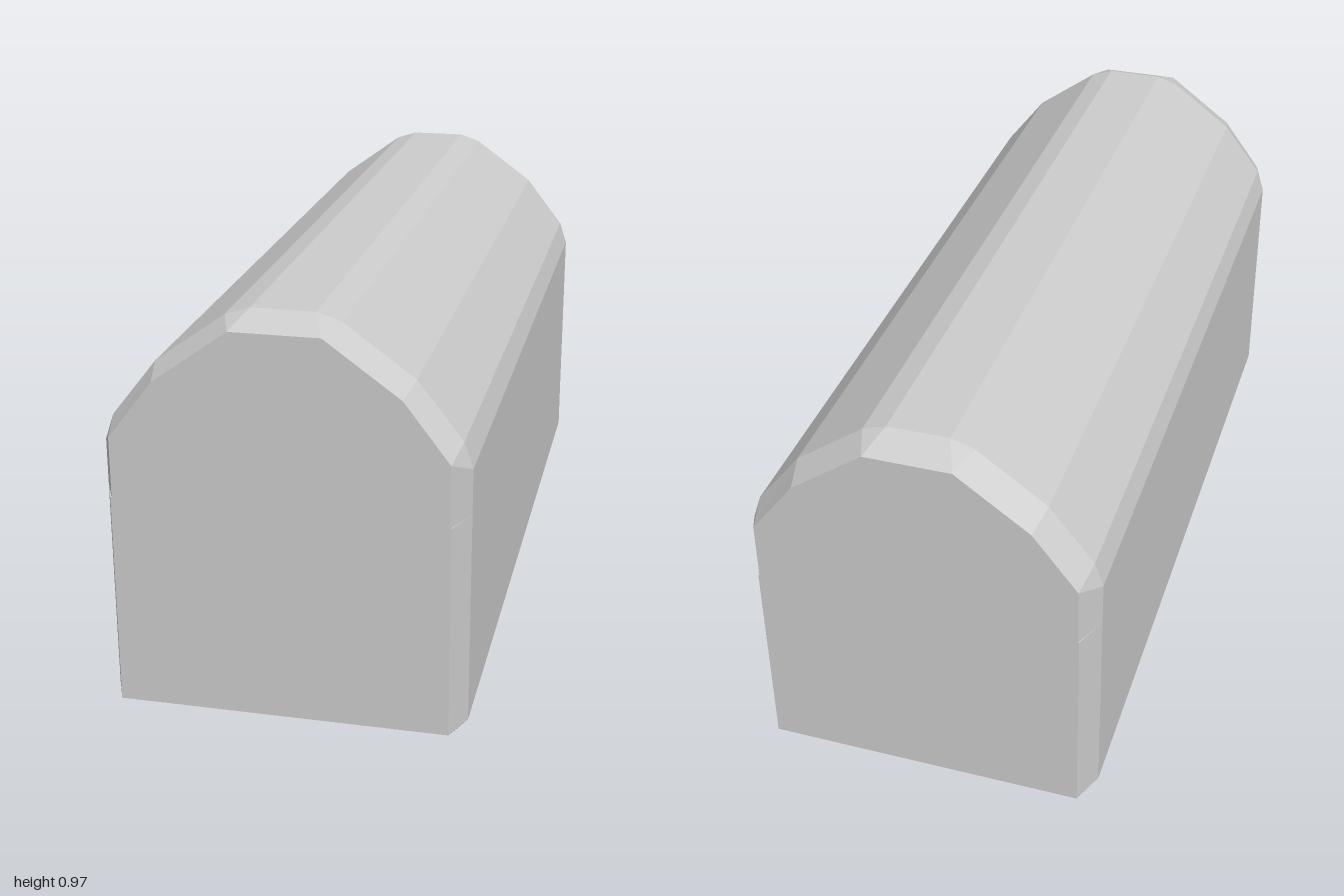
import * as THREE from 'three';

// Half profiles, bottom to top; repeated points collapse into corner facets.
const OUTER = [[0.38, 0], [0.41, 0.033], [0.41, 0.533], [0.41, 0.533], [0.41, 0.64],
  [0.39, 0.7], [0.287, 0.832], [0.127, 0.948], [0.072, 0.966]];
const INNER = [[0.378, 0.033], [0.378, 0.033], [0.378, 0.533], [0.375, 0.533], [0.375, 0.675],
  [0.375, 0.675], [0.272, 0.81], [0.101, 0.934], [0.101, 0.934]];

// Full closed ring at depth z, mirrored across x = 0.
function ring(half, z) {
  const left = half.map(([x, y]) => new THREE.Vector3(x, y, z));
  const right = half.map(([x, y]) => new THREE.Vector3(-x, y, z)).reverse();
  return [...left, ...right];
}

// Flat-faced loft through the rings, closed at both ends.
function loft(rings) {
  const pos = [];
  const tri = (a, b, c) => {
    if (new THREE.Triangle(a, b, c).getArea() < 1e-7) return;
    for (const p of [a, b, c]) pos.push(p.x, p.y, p.z);
  };
  const n = rings[0].length;
  for (let i = 0; i < rings.length - 1; i++) {
    for (let j = 0; j < n; j++) {
      const k = (j + 1) % n;
      const [a, b, c, d] = [rings[i][j], rings[i][k], rings[i + 1][k], rings[i + 1][j]];
      tri(a, b, c);
      tri(a, c, d);
    }
  }
  const back = rings[0], front = rings[rings.length - 1];
  const centre = (r) => new THREE.Vector3(0, 0.45, r[0].z);
  for (let j = 0; j < n; j++) {
    const k = (j + 1) % n;
    tri(centre(front), front[j], front[k]);
    tri(centre(back), back[k], back[j]);
  }
  const geometry = new THREE.BufferGeometry();
  geometry.setAttribute('position', new THREE.Float32BufferAttribute(pos, 3));
  geometry.computeVertexNormals();
  return geometry;
}

export function createModel() {
  const group = new THREE.Group();
  group.name = 'archedBlock';
  const grey = new THREE.MeshStandardMaterial({ color: 0xcccccc });
  grey.name = 'lightGrey';

  // Arched body with bevelled ends and a small step at the springing line
  const body = new THREE.Mesh(
    loft([ring(INNER, -1), ring(OUTER, -0.925), ring(OUTER, 0.925), ring(INNER, 1)]), grey);
  body.name = 'archedBody';
  group.add(body);
  return group;
}
